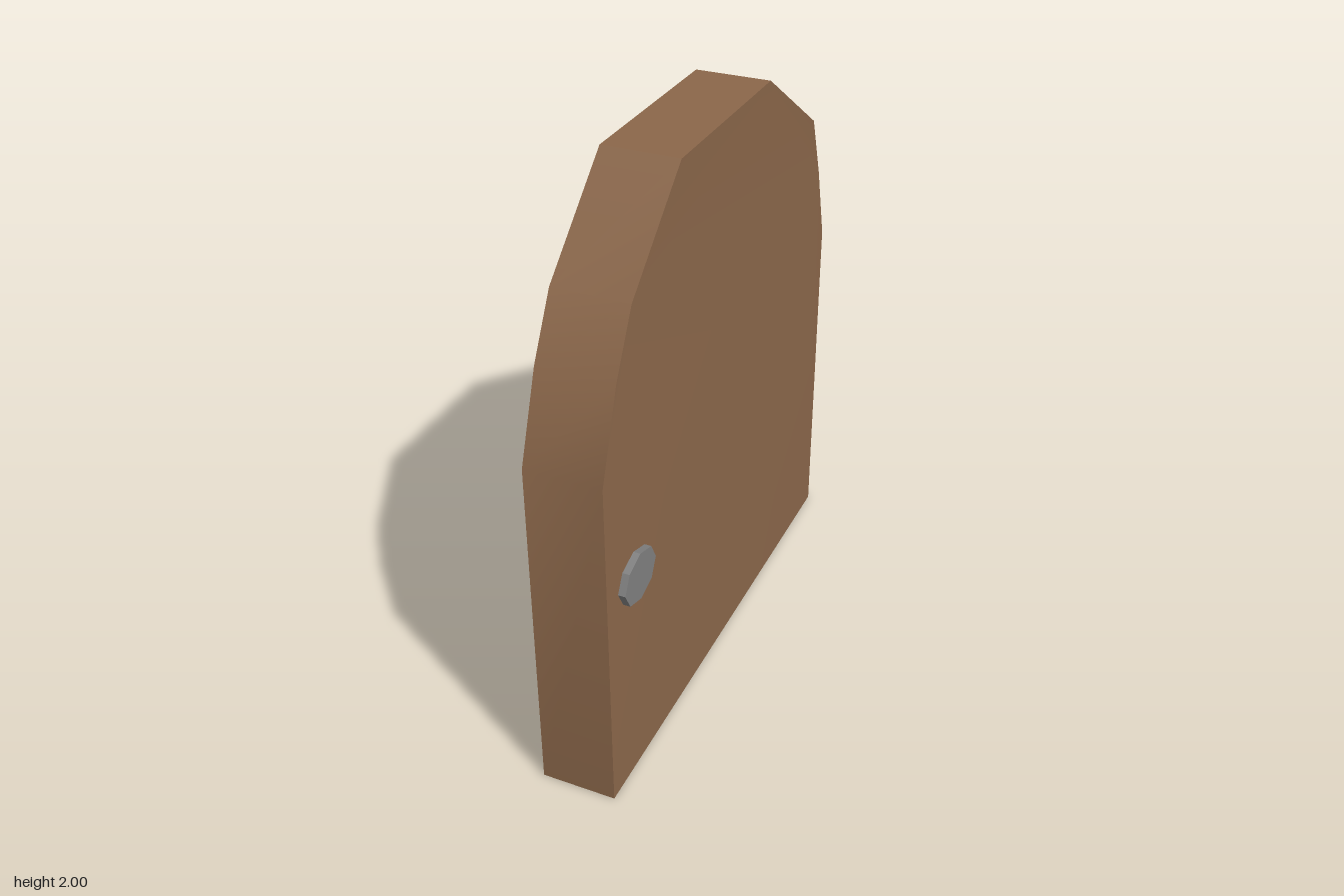
import * as THREE from 'three';
import { toCreasedNormals } from 'three/addons/utils/BufferGeometryUtils.js';

const THICKNESS = 0.256;

// Door outline: [z, y, sideways warp in x]
const OUTLINE = [
  [0.905, 0, 0.002], [0.905, 1.22, 0.002], [0.79, 1.5, -0.004], [0.67, 1.69, -0.01],
  [0.36, 2, 0.004], [-0.32, 2, 0.01], [-0.705, 1.73, 0.03], [-0.805, 1.5, 0.024],
  [-0.9, 1.22, 0.018], [-0.9, 0, 0.018],
];

function warpAt(z, y) {
  return OUTLINE.find((p) => Math.hypot(p[0] - z, p[1] - y) < 0.001)[2];
}

function doorGeometry() {
  const shape = new THREE.Shape(OUTLINE.map(([z, y]) => new THREE.Vector2(-z, y)));
  const geometry = new THREE.ExtrudeGeometry(shape, { depth: THICKNESS, bevelEnabled: false });
  geometry.translate(0, 0, -THICKNESS / 2).rotateY(Math.PI / 2);
  // Bend the slab slightly by shifting each corner sideways
  const pos = geometry.attributes.position;
  for (let i = 0; i < pos.count; i++) {
    pos.setX(i, pos.getX(i) + warpAt(pos.getZ(i), pos.getY(i)));
  }
  return toCreasedNormals(geometry, 0.5);
}

export function createModel() {
  const wood = new THREE.MeshStandardMaterial({ color: 0x8b674a });
  wood.name = 'brown wood';
  const metal = new THREE.MeshStandardMaterial({ color: 0x808080 });
  metal.name = 'grey metal';

  const group = new THREE.Group();
  group.name = 'archedDoor';

  const door = new THREE.Mesh(doorGeometry(), wood);
  door.name = 'doorPanel';
  group.add(door);

  // Eight-sided knob running through the door, showing on both faces
  const knobGeometry = new THREE.CylinderGeometry(1, 1, 0.32, 8).rotateZ(Math.PI / 2);
  knobGeometry.scale(1, 0.086, 0.108);
  const knob = new THREE.Mesh(toCreasedNormals(knobGeometry, 0.5), metal);
  knob.name = 'doorKnob';
  knob.position.set(-0.005, 0.79, 0.725);
  group.add(knob);

  return group;
}
